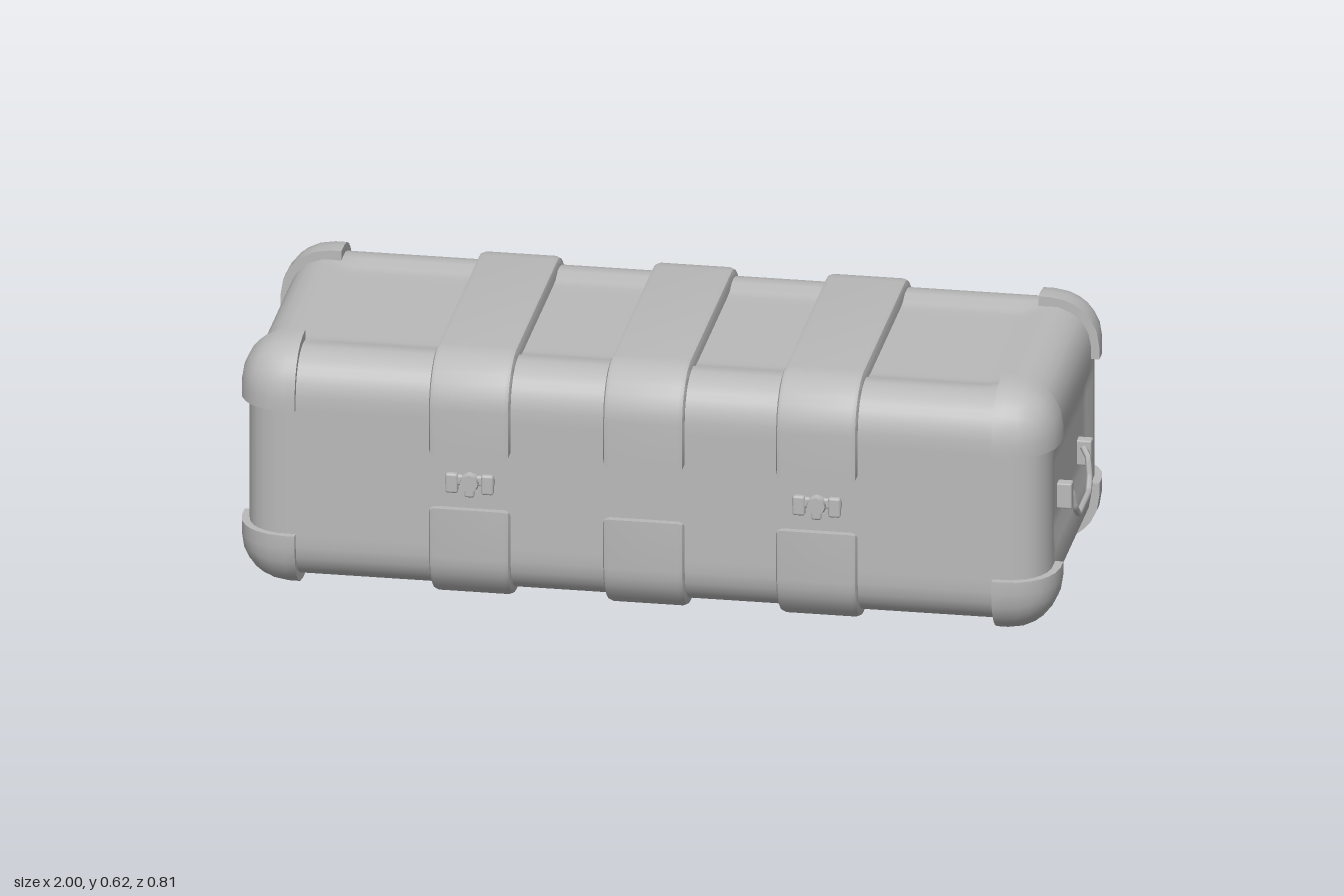
import * as THREE from 'three';
import { mergeVertices, toCreasedNormals } from 'three/addons/utils/BufferGeometryUtils.js';
import { RoundedBoxGeometry } from 'three/addons/geometries/RoundedBoxGeometry.js';

const HEIGHT = 0.622, MID = HEIGHT / 2;
const CAP_HALF = [0.987, MID, 0.407];

// Rounded case body with shallow dished panels on the top, bottom and ends
function bodyGeometry() {
  const half = [0.967, 0.289, 0.39], r = 0.1;
  let g = new THREE.BoxGeometry(half[0] * 2, half[1] * 2, half[2] * 2, 48, 18, 26);
  g.deleteAttribute('normal');
  g.deleteAttribute('uv');
  g = mergeVertices(g, 1e-4);
  const pos = g.attributes.position;
  const p = new THREE.Vector3(), core = new THREE.Vector3();
  const inner = new THREE.Vector3(half[0] - r, half[1] - r, half[2] - r);
  const outer = inner.clone().negate();
  const inside = (v, limit) => 1 - THREE.MathUtils.smoothstep(Math.abs(v), limit - 0.04, limit);
  for (let i = 0; i < pos.count; i++) {
    p.fromBufferAttribute(pos, i);
    core.copy(p).clamp(outer, inner);
    p.sub(core).setLength(r).add(core);
    if (Math.abs(p.y) > half[1] - 0.001) p.y -= Math.sign(p.y) * 0.014 * inside(p.x, 0.86) * inside(p.z, 0.27);
    if (Math.abs(p.x) > half[0] - 0.001) p.x -= Math.sign(p.x) * 0.012 * inside(p.y, 0.14) * inside(p.z, 0.27);
    pos.setXYZ(i, p.x, p.y, p.z);
  }
  g.computeVertexNormals();
  return g;
}

// Corner guard: the outward octant of a rounded box
function capGeometry(signs) {
  const size = [0.147, 0.152, 0.157];
  const g = new RoundedBoxGeometry(size[0] * 2, size[1] * 2, size[2] * 2, 3, 0.12);
  const pos = g.attributes.position;
  for (let i = 0; i < pos.count; i++) {
    for (let k = 0; k < 3; k++) {
      const v = pos.getComponent(i, k);
      pos.setComponent(i, k, v * signs[k] < 0 ? 0 : v);
    }
  }
  g.translate(...signs.map((s, k) => s * (CAP_HALF[k] - size[k])));
  return toCreasedNormals(g, 0.9);
}

// Strap: rounded hoop profile extruded across the case with softened edges
function strapGeometry(height) {
  const b = 0.014, w = CAP_HALF[2] - b, top = MID - b, low = MID - height + b, r = 0.11;
  const s = new THREE.Shape();
  s.moveTo(-w, low);
  s.lineTo(w, low);
  s.absarc(w - r, top - r, r, 0, Math.PI / 2, false);
  s.absarc(-w + r, top - r, r, Math.PI / 2, Math.PI, false);
  s.closePath();
  const depth = 0.196 - 2 * b;
  const g = new THREE.ExtrudeGeometry(s, {
    depth, curveSegments: 4, bevelSize: b, bevelThickness: b, bevelSegments: 2,
  });
  g.translate(0, 0, -depth / 2);
  g.rotateY(Math.PI / 2);
  return toCreasedNormals(g, 0.75);
}

export function createModel() {
  const model = new THREE.Group();
  model.name = 'storageCase';
  const grey = new THREE.MeshStandardMaterial({ color: 0xbababa });
  grey.name = 'grey';

  const add = (name, geometry, x = 0, y = 0, z = 0, parent = model) => {
    const m = new THREE.Mesh(geometry, grey);
    m.name = name;
    m.position.set(x, y, z);
    parent.add(m);
    return m;
  };

  add('body', bodyGeometry(), 0, MID, 0);

  // Eight corner guards
  for (const sx of [-1, 1]) for (const sy of [-1, 1]) for (const sz of [-1, 1]) {
    add('cornerGuard', capGeometry([sx, sy, sz]), 0, MID, 0);
  }

  // Three straps, each an upper and a lower hoop
  const upper = strapGeometry(0.24), lower = strapGeometry(0.248);
  for (const x of [-0.42, 0, 0.417]) {
    add('upperStrap', upper, x, MID, 0);
    add('lowerStrap', lower, x, MID, 0).rotation.x = Math.PI;
  }

  // Two front latches
  for (const x of [-0.42, 0.417]) {
    const latch = new THREE.Group();
    latch.name = 'latch';
    latch.position.set(x, 0.312, 0.388);
    model.add(latch);
    add('latchPlate', new RoundedBoxGeometry(0.12, 0.026, 0.014, 2, 0.006), 0, 0.008, 0.003, latch);
    for (const s of [-1, 1]) {
      add('latchLug', new RoundedBoxGeometry(0.03, 0.05, 0.02, 2, 0.006), s * 0.043, 0, 0.004, latch);
    }
    const knob = new THREE.CylinderGeometry(0.022, 0.026, 0.024, 8);
    knob.rotateX(Math.PI / 2);
    add('latchKnob', toCreasedNormals(knob, 0.9), 0, 0.004, 0.008, latch);
    add('latchTongue', new RoundedBoxGeometry(0.024, 0.03, 0.016, 2, 0.006), 0, -0.018, 0.008, latch);
  }

  // Drop handles on both ends
  const path = new THREE.CurvePath();
  const points = [[0.008, 0.295, 0.125], [0.022, 0.275, 0.112], [0.028, 0.23, 0.098], [0.03, 0.202, 0.07]];
  const full = [...points, ...points.map(([x, y, z]) => [x, y, -z]).reverse()]
    .map((q) => new THREE.Vector3(...q));
  for (let i = 1; i < full.length; i++) path.add(new THREE.LineCurve3(full[i - 1], full[i]));
  const bar = new THREE.TubeGeometry(path, 28, 0.008, 6);
  for (const s of [-1, 1]) {
    const handle = new THREE.Group();
    handle.name = 'endHandle';
    handle.position.x = s * 0.962;
    if (s < 0) handle.rotation.y = Math.PI;
    model.add(handle);
    add('handleBar', bar, 0, 0, 0, handle);
    for (const z of [-0.138, 0.138]) {
      add('handleMount', new RoundedBoxGeometry(0.04, 0.064, 0.03, 1, 0.004), 0.008, 0.279, z, handle);
    }
  }
  return model;
}
